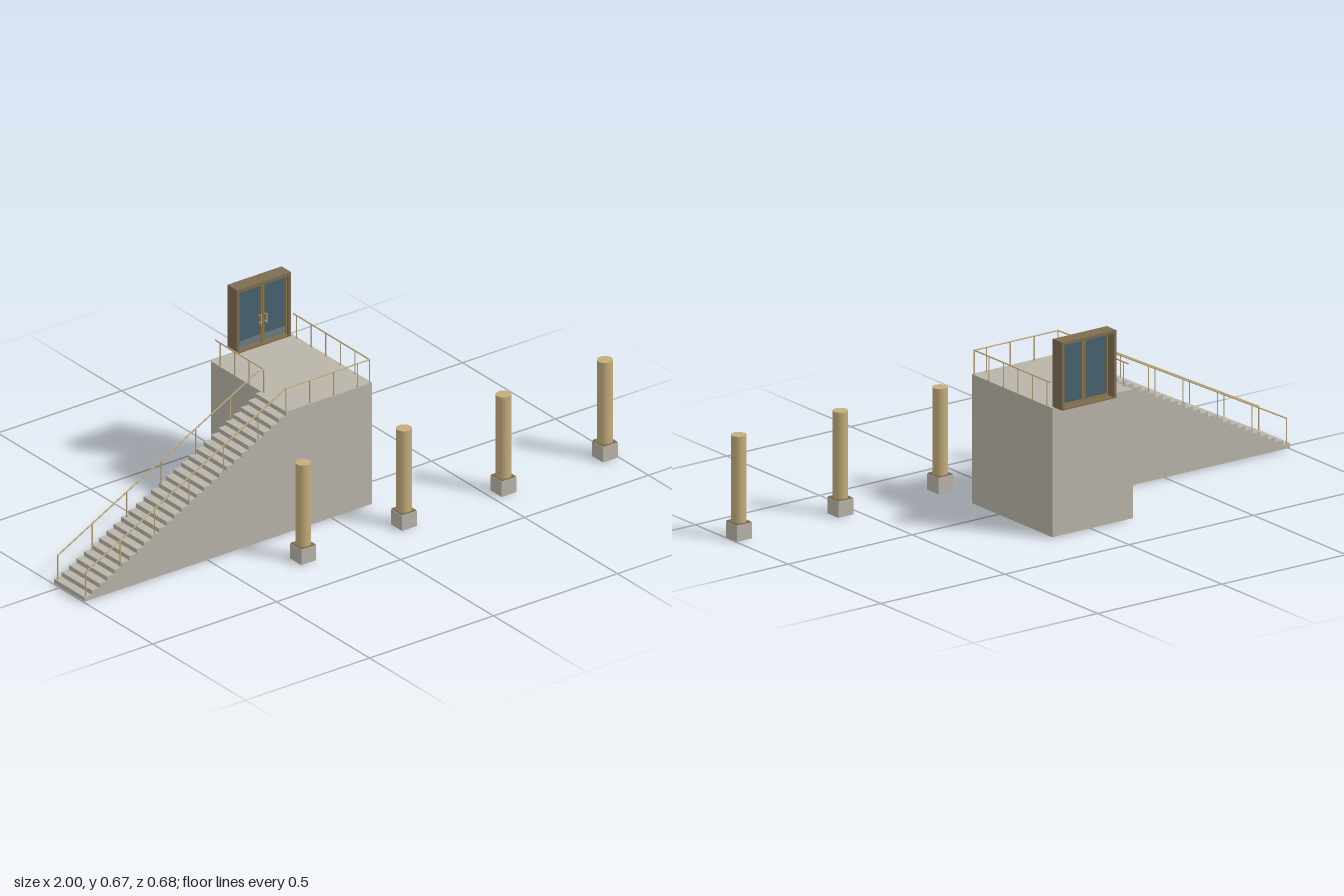
import * as THREE from 'three';

const mat = (name, color) => {
  const m = new THREE.MeshStandardMaterial({ color });
  m.name = name;
  return m;
};

export function createModel() {
  const concrete = mat('concrete', 0xb8b4a8);
  const brass = mat('brass', 0xc4ad7c);
  const bronze = mat('bronze', 0x7d6c4f);
  const trim = mat('door trim', 0x937747);
  const glass = mat('glass', 0x46626f);
  const kick = mat('kick panel', 0x6d7c80);

  const model = new THREE.Group();
  const group = (name) => {
    const g = new THREE.Group();
    g.name = name;
    model.add(g);
    return g;
  };
  const add = (parent, name, geo, material, x = 0, y = 0, z = 0) => {
    const m = new THREE.Mesh(geo, material);
    m.name = name;
    m.position.set(x, y, z);
    parent.add(m);
    return m;
  };
  // Box given by its minimum and maximum corners
  const box = (parent, name, material, x0, x1, y0, y1, z0, z1) =>
    add(parent, name, new THREE.BoxGeometry(x1 - x0, y1 - y0, z1 - z0), material,
      (x0 + x1) / 2, (y0 + y1) / 2, (z0 + z1) / 2);

  // Staircase: one stepped side profile extruded across its width
  const steps = 28, going = 0.0301, base = 0.004, deck = 0.443;
  const rise = (deck - base) / steps;
  const front = 0.134, stairBack = -0.03, landLeft = -0.165, landRight = 0.16;
  const profile = new THREE.Shape();
  profile.moveTo(-1, base);
  for (let i = 0; i < steps; i++) {
    const x = -1 + i * going, y = base + (i + 1) * rise;
    profile.lineTo(x, y);
    profile.lineTo(i === steps - 1 ? landLeft : x + going, y);
  }
  profile.lineTo(landLeft, base);
  add(model, 'stairs', new THREE.ExtrudeGeometry(profile, { depth: front - stairBack, bevelEnabled: false }),
    concrete, 0, 0, stairBack);
  box(model, 'landing', concrete, landLeft, landRight, base, deck, -0.3, front);

  // Railings
  const rails = group('railings');
  const railTop = 0.525, footX = -0.99, headX = -0.182, footY = 0.105;
  const railY = (x) => x >= headX ? railTop
    : footY + (railTop - footY) * (x - footX) / (headX - footX);
  const groundY = (x) => x >= headX ? deck
    : base + rise * (Math.floor((x + 1) / going) + 1);
  const up = new THREE.Vector3(0, 1, 0);
  const bar = (a, b) => {
    const d = b.clone().sub(a);
    const m = add(rails, 'handrail', new THREE.CylinderGeometry(0.0025, 0.0025, d.length() + 0.003, 8), brass);
    m.position.copy(a).addScaledVector(d, 0.5);
    m.quaternion.setFromUnitVectors(up, d.normalize());
  };
  const run = (points) => {
    const v = points.map(([x, z]) => new THREE.Vector3(x, railY(x), z));
    for (let i = 1; i < v.length; i++) bar(v[i - 1], v[i]);
  };
  const post = (x, z) => {
    const y0 = groundY(x), h = railY(x) - y0;
    add(rails, 'railPost', new THREE.CylinderGeometry(0.002, 0.002, h, 8), brass, x, y0 + h / 2, z);
    add(rails, 'postFoot', new THREE.CylinderGeometry(0.004, 0.004, 0.003, 8), brass, x, y0 + 0.0015, z);
  };
  const zf = 0.127, zb = -0.023, xl = -0.16, xr = 0.155, zEnd = -0.281;
  run([[footX, zf], [headX, zf], [xr, zf], [xr, zEnd]]);
  run([[footX, zb], [headX, zb], [xl, zb], [xl, zEnd]]);
  for (let i = 0; i < 6; i++) {
    post(footX + i * 0.139, zf);
    post(footX + i * 0.139, zb);
    post(xr, zf - i * 0.0785);
  }
  for (let i = 0; i < 4; i++) {
    post(headX + i * 0.096, zf);
    post(xl, -0.022 - i * 0.078);
  }

  // Door: deep frame with two glazed leaves
  const door = group('door');
  const dx0 = -0.068, dx1 = 0.15, dTop = 0.674, zBack = -0.34, zFront = -0.289, t = 0.01;
  box(door, 'frameSide', bronze, dx0, dx0 + t, deck, dTop, zBack, zFront);
  box(door, 'frameSide', bronze, dx1 - t, dx1, deck, dTop, zBack, zFront);
  box(door, 'frameHead', bronze, dx0 + t, dx1 - t, dTop - t, dTop, zBack, zFront);
  box(door, 'threshold', bronze, dx0 + t, dx1 - t, deck, deck + 0.004, zBack, zFront);
  const mid = (dx0 + dx1) / 2, y0 = deck + 0.004, y1 = dTop - t, s = 0.006;
  for (const [a, b] of [[dx0 + t, mid - 0.0005], [mid + 0.0005, dx1 - t]]) {
    box(door, 'glassPane', glass, a + s, b - s, y0 + s, y1 - s, -0.306, -0.302);
    box(door, 'leafStile', trim, a, a + s, y0, y1, -0.31, -0.296);
    box(door, 'leafStile', trim, b - s, b, y0, y1, -0.31, -0.296);
    box(door, 'leafRail', trim, a + s, b - s, y1 - s, y1, -0.31, -0.296);
    box(door, 'leafRail', trim, a + s, b - s, y0, y0 + s, -0.31, -0.296);
    box(door, 'kickPanel', kick, a + s, b - s, y0 + s, 0.478, -0.302, -0.3);
  }
  for (const side of [-1, 1]) {
    const x = mid + side * 0.011;
    add(door, 'handle', new THREE.CylinderGeometry(0.002, 0.002, 0.035, 8), brass, x, 0.538, -0.289);
    for (const y of [0.525, 0.551]) box(door, 'handleMount', brass, x - 0.0015, x + 0.0015, y - 0.0015, y + 0.0015, -0.303, -0.289);
  }

  // Free-standing columns on square plinths
  for (const x of [-0.25, 0.156, 0.558, 0.967]) {
    const c = group('column');
    c.position.set(x, 0, 0.31);
    box(c, 'plinth', concrete, -0.03, 0.03, 0, 0.055, -0.03, 0.03);
    box(c, 'plinthPlate', bronze, -0.028, 0.028, 0.055, 0.058, -0.028, 0.028);
    add(c, 'shaft', new THREE.CylinderGeometry(0.0255, 0.0255, 0.294, 32), brass, 0, 0.205, 0);
  }
  return model;
}
